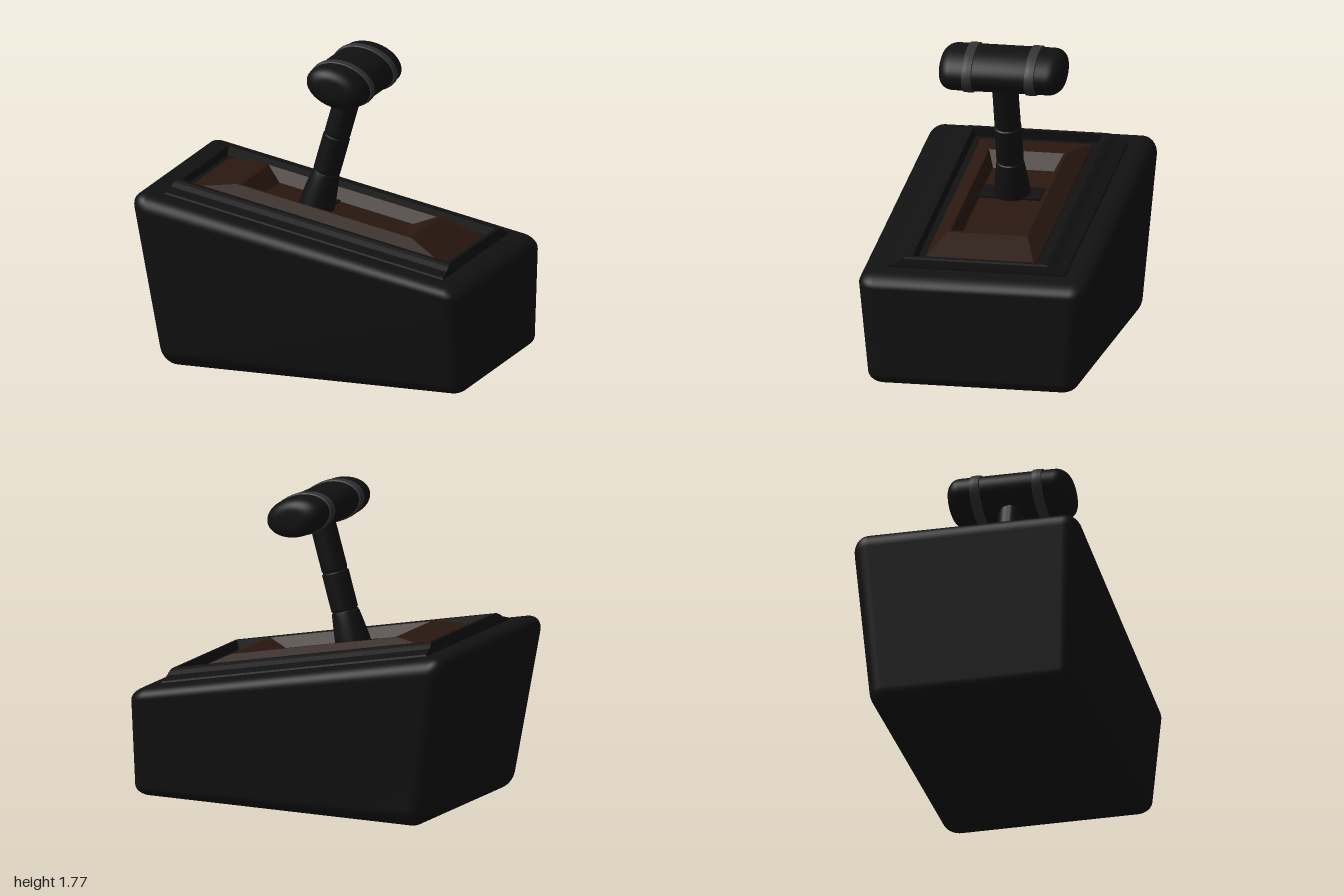
import * as THREE from 'three';
import { mergeVertices, toCreasedNormals } from 'three/addons/utils/BufferGeometryUtils.js';
import { RoundedBoxGeometry } from 'three/addons/geometries/RoundedBoxGeometry.js';

const paint = (color) => new THREE.MeshStandardMaterial({ color });
const black = paint(0x111111);
const wood = paint(0x2a180f);
const steel = paint(0x333333);

function add(parent, name, geometry, material) {
  const mesh = new THREE.Mesh(geometry, material);
  mesh.name = name;
  parent.add(mesh);
  return mesh;
}

// Stepped rectangular surface: loops of [x0, x1, halfZ, height] from outside in.
function steppedFrame(loops, closed) {
  const corners = loops.map(([x0, x1, z, h]) => [[x0, h, z], [x1, h, z], [x1, h, -z], [x0, h, -z]]);
  const positions = [];
  const quad = (a, b, c, d) => positions.push(...a, ...b, ...c, ...a, ...c, ...d);
  for (let k = 0; k < corners.length - 1; k++) {
    const outer = corners[k], inner = corners[k + 1];
    for (let i = 0; i < 4; i++) {
      const j = (i + 1) % 4;
      quad(outer[i], outer[j], inner[j], inner[i]);
    }
  }
  if (closed) quad(...corners[corners.length - 1]);
  const geometry = new THREE.BufferGeometry();
  geometry.setAttribute('position', new THREE.Float32BufferAttribute(positions, 3));
  geometry.computeVertexNormals();
  return geometry;
}

// Turned shape from [radius, height] pairs, listed bottom to top.
function turned(points, crease = 0.5) {
  const profile = points.map(([r, y]) => new THREE.Vector2(r, y));
  return toCreasedNormals(new THREE.LatheGeometry(profile, 48), crease);
}

// Rounded block with sloping top, narrowed base and raked left end.
function bodyGeometry() {
  let geometry = new RoundedBoxGeometry(2, 1, 1.33, 6, 0.1);
  geometry.deleteAttribute('uv');
  geometry.deleteAttribute('normal');
  geometry = mergeVertices(geometry, 1e-4);
  const p = geometry.attributes.position;
  for (let i = 0; i < p.count; i++) {
    const x = p.getX(i), t = p.getY(i) + 0.5;
    p.setXYZ(i,
      x + 0.17 * (1 - t) * (1 - x) / 2,
      t * (0.82 - 0.2 * x),
      p.getZ(i) * (0.9 + 0.1 * t));
  }
  geometry.computeVertexNormals();
  return geometry;
}

export function createModel() {
  const model = new THREE.Group();
  model.name = 'leverConsole';
  add(model, 'consoleBody', bodyGeometry(), black);

  // Top panel, lying on the slope
  const panel = new THREE.Group();
  panel.name = 'topPanel';
  panel.position.y = 0.82;
  panel.rotation.z = -Math.atan(0.2);
  model.add(panel);

  add(panel, 'panelRim', steppedFrame([
    [-0.845, 0.865, 0.52, -0.02],
    [-0.84, 0.86, 0.51, 0.01],
    [-0.835, 0.855, 0.45, 0.03],
    [-0.832, 0.85, 0.42, 0.05],
    [-0.828, 0.845, 0.4, 0.06],
    [-0.805, 0.825, 0.37, 0.06],
    [-0.8, 0.82, 0.36, 0.008],
    [-0.76, 0.78, 0.31, 0.008],
  ]), black);

  add(panel, 'woodSurround', steppedFrame([
    [-0.772, 0.792, 0.325, 0.005],
    [-0.77, 0.79, 0.32, 0.014],
    [-0.525, 0.545, 0.23, 0.08],
    [-0.505, 0.525, 0.215, 0.08],
    [-0.41, 0.41, 0.175, 0.012],
  ], true), wood);

  const slot = add(panel, 'leverSlot', new THREE.BoxGeometry(0.15, 0.012, 0.35), black);
  slot.position.set(-0.11, 0.014, 0);

  // Tilted lever
  const lever = new THREE.Group();
  lever.name = 'lever';
  lever.position.set(-0.11, 0.85, 0);
  lever.rotation.z = -0.28;
  model.add(lever);

  add(lever, 'leverShaft', turned([
    [0.105, -0.02], [0.1, 0.05], [0.087, 0.15], [0.08, 0.2], [0.076, 0.215],
    [0.07, 0.22], [0.077, 0.228], [0.077, 0.44], [0.07, 0.446], [0.07, 0.454],
    [0.074, 0.46], [0.073, 0.8],
  ]), black);

  // Oval handle lying across the lever
  const handle = new THREE.Group();
  handle.name = 'handle';
  handle.position.y = 0.82;
  lever.add(handle);
  const oval = (geometry) => geometry.rotateX(Math.PI / 2).scale(0.18, 0.114, 1);

  const end = [[0, 0.355]];
  for (let i = 0; i <= 8; i++) {
    const a = (i / 8) * Math.PI / 2;
    end.push([0.42 + 0.58 * Math.sin(a), 0.275 + 0.08 * Math.cos(a)]);
  }
  const grip = [...end.map(([r, y]) => [r, -y]), ...end.reverse()];
  add(handle, 'handleGrip', oval(turned(grip, 1)), black);

  for (const side of [-1, 1]) {
    const band = turned([[0.95, -0.032], [1.05, -0.026], [1.06, 0], [1.05, 0.026], [0.95, 0.032]]);
    add(handle, side > 0 ? 'frontBand' : 'backBand', oval(band), steel).position.z = side * 0.18;
  }
  return model;
}
